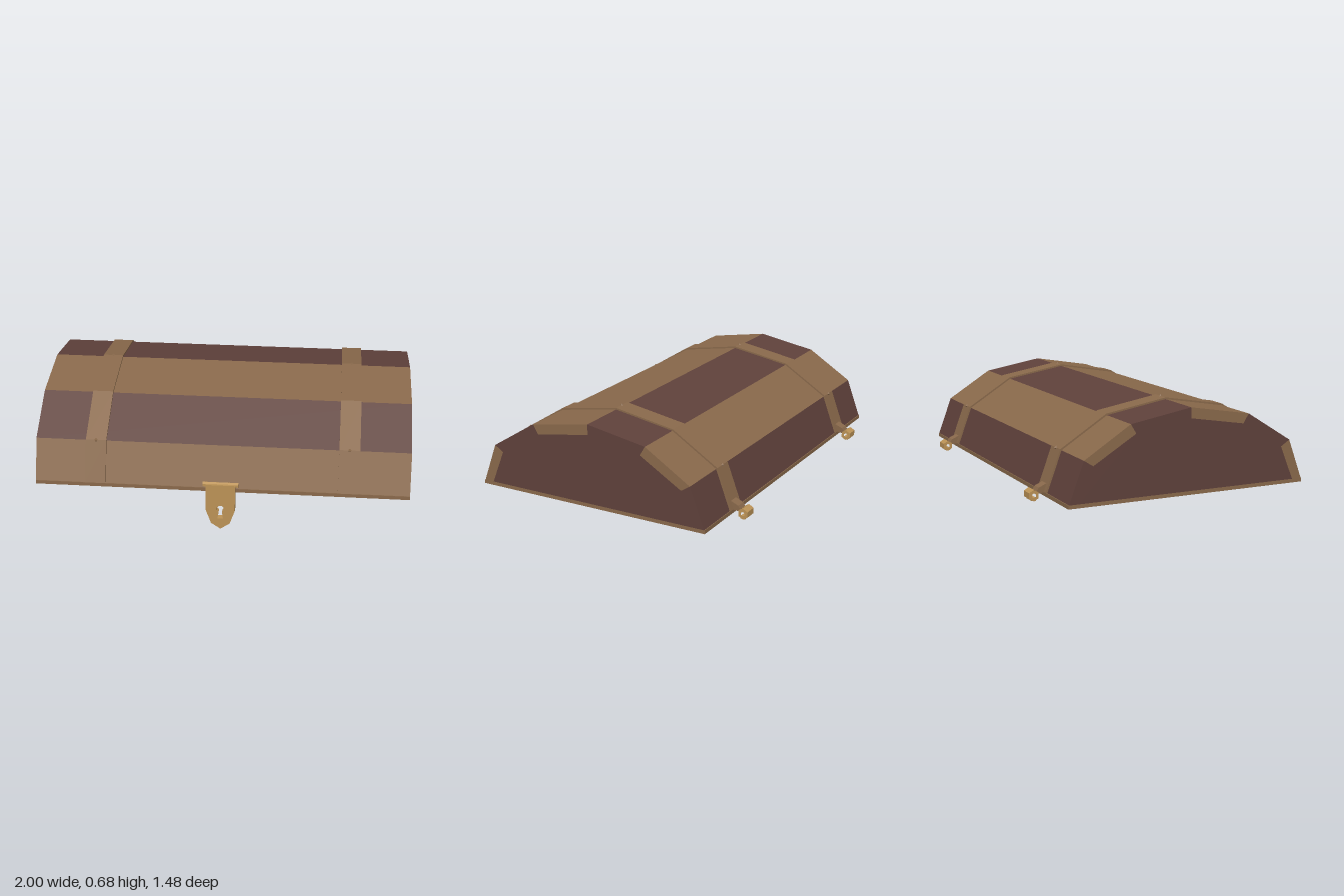
import * as THREE from 'three';

const mat = (name, color) => {
  const m = new THREE.MeshStandardMaterial({ color });
  m.name = name;
  return m;
};

// Arched lid section as [z, y], front to back
const outer = [[0.7, 0.235], [0.62, 0.45], [0.365, 0.61], [0.025, 0.668], [-0.315, 0.61], [-0.57, 0.45], [-0.65, 0.235]];
const inner = [[0.645, 0.235], [0.57, 0.418], [0.335, 0.56], [0.025, 0.612], [-0.285, 0.56], [-0.52, 0.418], [-0.595, 0.235]];

// Grow the section outward with mitred corners
function grow(points, d) {
  const normal = (a, b) => new THREE.Vector2(b[1] - a[1], a[0] - b[0]).normalize();
  return points.map((p, i) => {
    const n1 = i > 0 ? normal(points[i - 1], p) : normal(p, points[i + 1]);
    const n2 = i < points.length - 1 ? normal(p, points[i + 1]) : n1;
    const m = n1.clone().add(n2).normalize();
    const s = d / m.dot(n1);
    return [p[0] + m.x * s, p[1] + m.y * s];
  });
}

// Extrude a [z, y] section along x, centred on x
function alongX(points, width, x = 0, hole = null) {
  const toVec = ([z, y]) => new THREE.Vector2(-z, y);
  const shape = new THREE.Shape(points.map(toVec));
  if (hole) shape.holes.push(new THREE.Path(hole.map(toVec)));
  const geo = new THREE.ExtrudeGeometry(shape, { depth: width, bevelEnabled: false });
  return geo.translate(0, 0, -width / 2).rotateY(Math.PI / 2).translate(x, 0, 0);
}

const hexagon = (z, y, r) => Array.from({ length: 6 }, (_, i) => {
  const a = Math.PI / 6 + i * Math.PI / 3;
  return [z + r * Math.cos(a), y + r * Math.sin(a)];
});

export function createModel() {
  const group = new THREE.Group();
  group.name = 'chestLid';
  const darkWood = mat('dark wood', 0x5f413b);
  const lightWood = mat('light wood', 0x89694b);
  const brass = mat('brass', 0xbb9256);
  const add = (name, geo, material) => {
    const mesh = new THREE.Mesh(geo, material);
    mesh.name = name;
    group.add(mesh);
    return mesh;
  };

  // Six planks in alternating wood
  for (let i = 0; i < 6; i++) {
    add('plank' + (i + 1), alongX([outer[i], outer[i + 1], inner[i + 1], inner[i]], 2), i % 2 ? darkWood : lightWood);
  }

  // End panels closing the hollow lid
  for (const s of [-1, 1]) add('endPanel', alongX(inner, 0.06, s * 0.97), darkWood);

  // Open rim around the bottom
  const rect = (x, front, back) => [[-x, -front], [x, -front], [x, -back], [-x, -back]].map(p => new THREE.Vector2(...p));
  const rim = new THREE.Shape(rect(1, 0.704, -0.654));
  rim.holes.push(new THREE.Path(rect(0.935, 0.64, -0.59)));
  add('rim', new THREE.ExtrudeGeometry(rim, { depth: 0.02, bevelEnabled: false })
    .rotateX(-Math.PI / 2).translate(0, 0.215, 0), lightWood);

  // Straps, rivets and hinges on both sides
  const strapSection = [...grow(outer, 0.009), ...grow(outer, -0.004).reverse()];
  for (const s of [-1, 1]) {
    const x = s * 0.675;
    add('strap', alongX(strapSection, 0.11, x), lightWood);
    for (const i of [1, 3, 5]) {
      const [z, y] = grow(outer, 0.006)[i];
      add('rivet', new THREE.OctahedronGeometry(0.012).translate(x, y, z), lightWood);
    }
    add('hingeArm', alongX([[-0.635, 0.284], [-0.685, 0.262], [-0.697, 0.245], [-0.688, 0.232], [-0.65, 0.235]], 0.055, x), lightWood);
    add('hingeRing', alongX(hexagon(-0.715, 0.225, 0.03), 0.07, x, hexagon(-0.715, 0.225, 0.012)), brass);
    add('hingeFoot', new THREE.BoxGeometry(0.07, 0.016, 0.024).translate(x, 0.206, -0.715), brass);
  }

  // Hanging hasp plate with a keyhole
  const plate = new THREE.Shape([[-0.078, 0.275], [-0.078, 0.12], [-0.05, 0.04], [0, 0.006], [0.05, 0.04], [0.078, 0.12], [0.078, 0.275]]
    .map(p => new THREE.Vector2(...p)));
  const keyhole = [[-0.015, 0.07], [0.015, 0.07], [0.009, 0.108], [0.019, 0.118], [0.019, 0.136], [0.009, 0.148],
    [-0.009, 0.148], [-0.019, 0.136], [-0.019, 0.118], [-0.009, 0.108]];
  plate.holes.push(new THREE.Path(keyhole.map(p => new THREE.Vector2(...p))));
  add('hasp', new THREE.ExtrudeGeometry(plate, { depth: 0.034, bevelEnabled: false }).translate(0, 0, 0.708), brass);
  add('haspPin', alongX(hexagon(0.719, 0.267, 0.014), 0.19), brass);

  return group;
}
